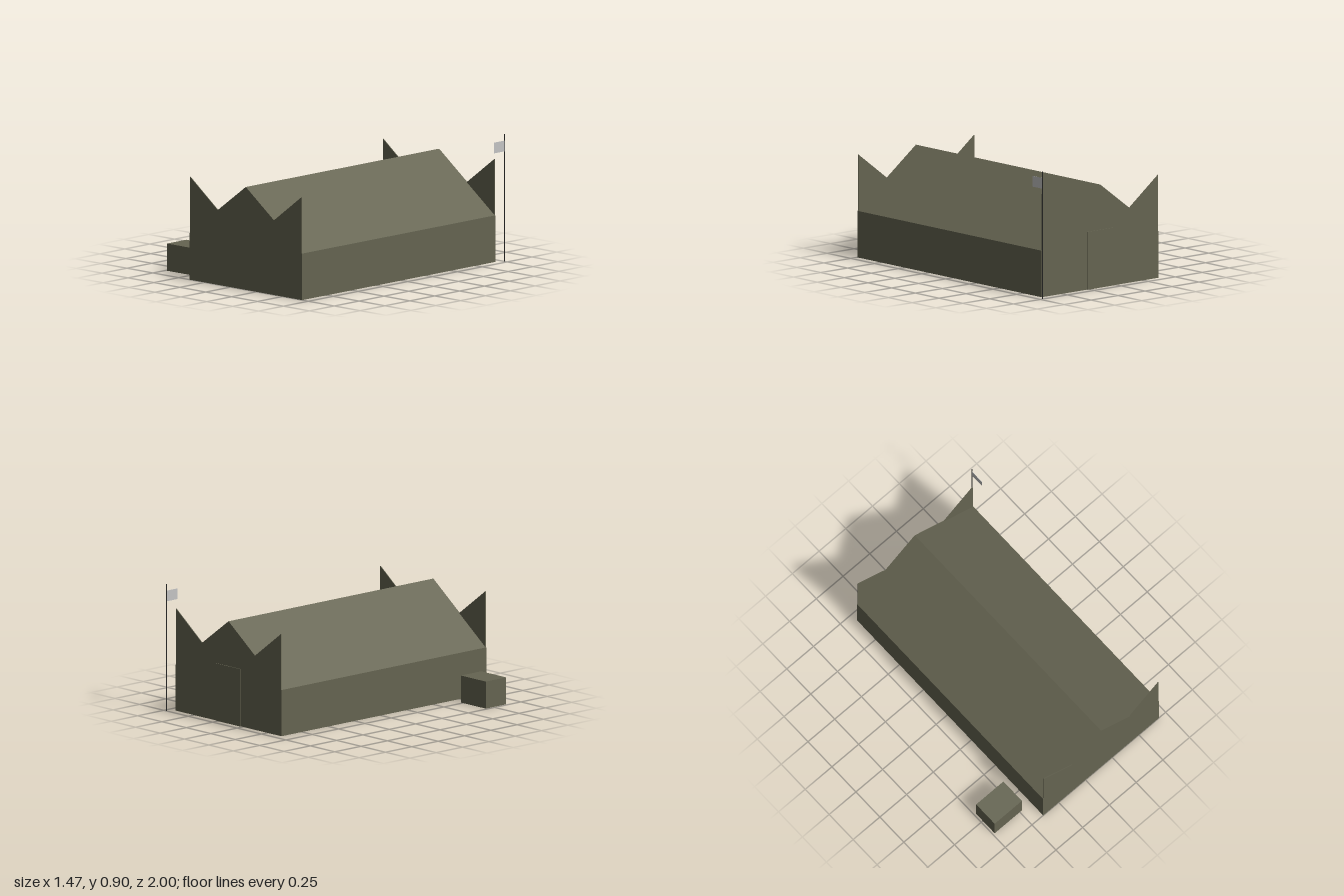
import * as THREE from 'three';

const olive = new THREE.MeshStandardMaterial({ color: 0x656451 });
olive.name = 'olive canvas';
const grey = new THREE.MeshStandardMaterial({ color: 0xc4c4c4 });
grey.name = 'flag grey';
const dark = new THREE.MeshStandardMaterial({ color: 0x2a2a28 });
dark.name = 'pole dark';

// Box given by its two opposite corners
function box(name, [x0, y0, z0], [x1, y1, z1], material) {
  const mesh = new THREE.Mesh(new THREE.BoxGeometry(x1 - x0, y1 - y0, z1 - z0), material);
  mesh.position.set((x0 + x1) / 2, (y0 + y1) / 2, (z0 + z1) / 2);
  mesh.name = name;
  return mesh;
}

// Outline in x and y, extruded from z0 to z1
function prism(name, points, z0, z1, material) {
  const shape = new THREE.Shape(points.map(([x, y]) => new THREE.Vector2(x, y)));
  const geometry = new THREE.ExtrudeGeometry(shape, { depth: z1 - z0, bevelEnabled: false });
  const mesh = new THREE.Mesh(geometry, material);
  mesh.position.z = z0;
  mesh.name = name;
  return mesh;
}

export function createModel() {
  const model = new THREE.Group();
  model.name = 'tent';
  const left = 0.69, right = -0.395, mid = 0.147;
  const eave = 0.33, ridge = 0.73, valley = 0.53;
  const front = 1, back = -0.945;

  // Walls and ridged roof
  model.add(box('walls', [right, 0, back], [left, eave, front], olive));
  model.add(prism('roof', [[right, eave], [left, eave], [mid, ridge]], back + 0.003, front - 0.003, olive));

  // Thin end panels with raised corners on both sides of the gable
  const zigzag = [
    [right + 0.005, eave - 0.02], [left - 0.005, eave - 0.02], [left - 0.005, ridge],
    [(left + mid) / 2, valley], [mid, ridge], [(right + mid) / 2, valley], [right + 0.005, ridge],
  ];
  model.add(prism('frontPanel', zigzag, front - 0.006, front, olive));
  model.add(prism('backPanel', zigzag, back, back + 0.006, olive));

  // Door flap on the back
  model.add(box('backDoor', [0.02, 0, back - 0.006], [0.27, 0.41, back], olive));

  // Crate standing beside the tent
  model.add(box('crate', [-0.735, 0, 0.68], [-0.48, 0.193, 0.873], olive));

  // Flagpole and flag
  const pole = new THREE.Mesh(new THREE.CylinderGeometry(0.003, 0.003, 0.905, 8), dark);
  pole.position.set(0.728, 0.4525, -0.997);
  pole.name = 'flagpole';
  model.add(pole);
  model.add(box('flag', [0.727, 0.782, -0.995], [0.729, 0.858, -0.89], grey));

  return model;
}
